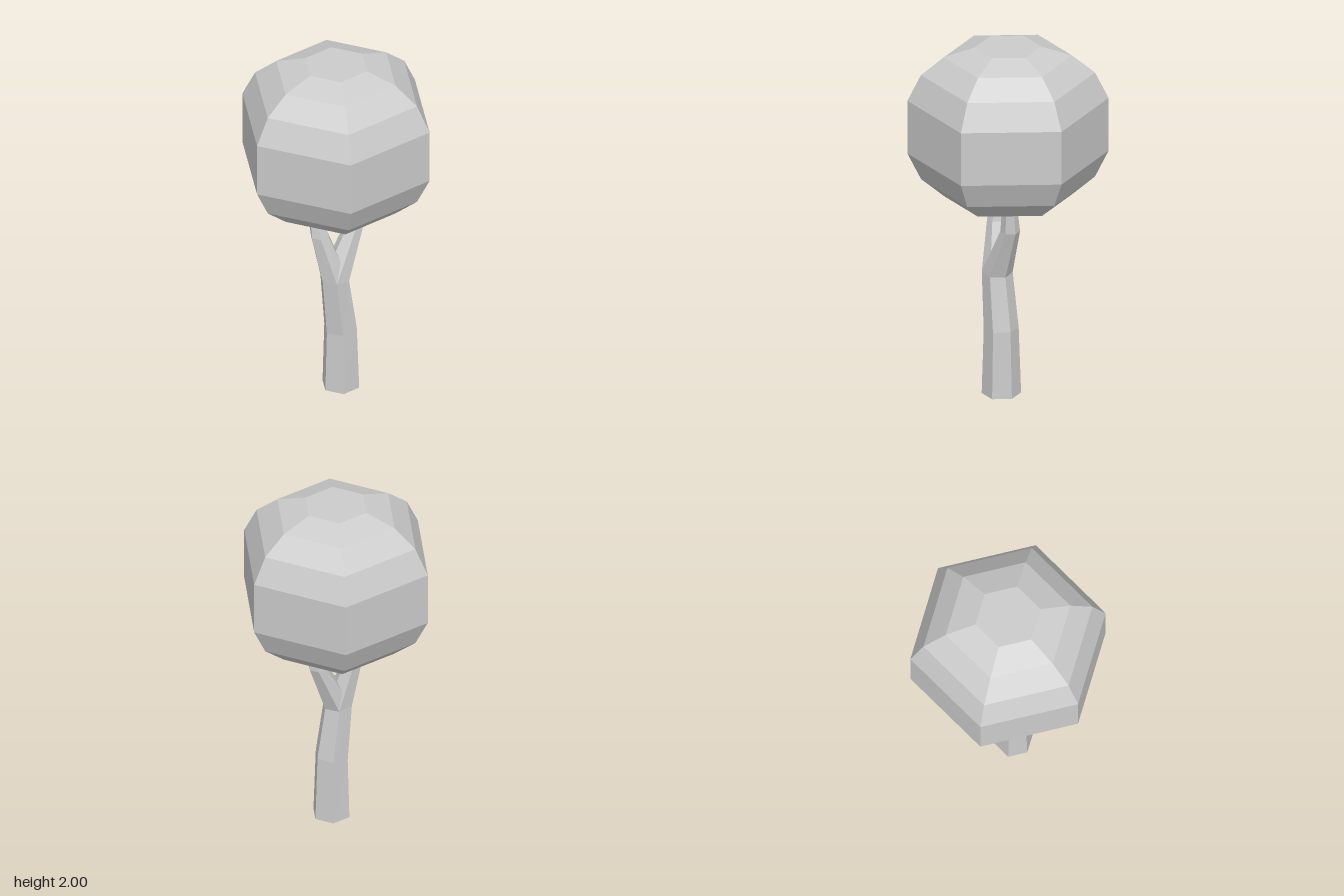
import * as THREE from 'three';

const SIDES = 6;

// Open six-sided tube through rings [x, y, z, radius, tilt]; tilt raises y along z.
function hexTube(rings) {
  const positions = [], index = [];
  for (const [x, y, z, r, tilt = 0] of rings) {
    for (let i = 0; i < SIDES; i++) {
      const a = (i / SIDES) * Math.PI * 2;
      const dz = Math.cos(a) * r;
      positions.push(x + Math.sin(a) * r, y + dz * tilt, z + dz);
    }
  }
  for (let k = 0; k < rings.length - 1; k++) {
    for (let i = 0; i < SIDES; i++) {
      const j = (i + 1) % SIDES;
      const a = k * SIDES + i, b = k * SIDES + j;
      index.push(a, b, b + SIDES, a, b + SIDES, a + SIDES);
    }
  }
  const geometry = new THREE.BufferGeometry();
  geometry.setAttribute('position', new THREE.Float32BufferAttribute(positions, 3));
  geometry.setIndex(index);
  geometry.computeVertexNormals();
  return geometry;
}

export function createModel() {
  const tree = new THREE.Group();
  tree.name = 'tree';
  const material = new THREE.MeshStandardMaterial({
    color: 0xcccccc, flatShading: true, side: THREE.DoubleSide,
  });
  const add = (name, geometry) => {
    const mesh = new THREE.Mesh(geometry, material);
    mesh.name = name;
    tree.add(mesh);
  };

  // Trunk, bending towards the front up to the fork
  const fork = [0.042, 0.69, 0.042, 0.083, 0.09];
  add('trunk', hexTube([
    [0.042, 0, 0, 0.106],
    [0.042, 0.37, 0.002, 0.094, -0.16],
    fork,
  ]));

  // Both branches grow out of the same fork ring
  add('frontBranch', hexTube([fork, [0, 0.965, 0.112, 0.053], [-0.029, 1.1, 0.112, 0.043]]));
  add('backBranch', hexTube([fork, [0.042, 0.97, -0.089, 0.053], [0.052, 1.1, -0.1, 0.042]]));

  // Crown: hexagonal, rounded profile, symmetric about its middle
  const half = [[0, 0.458], [0.18, 0.458], [0.345, 0.403], [0.468, 0.302], [0.541, 0.153]];
  const profile = [
    ...half.map(([r, h]) => new THREE.Vector2(r, 1.542 - h)),
    ...half.slice().reverse().map(([r, h]) => new THREE.Vector2(r, 1.542 + h)),
  ];
  add('crown', new THREE.LatheGeometry(profile, SIDES));

  return tree;
}
